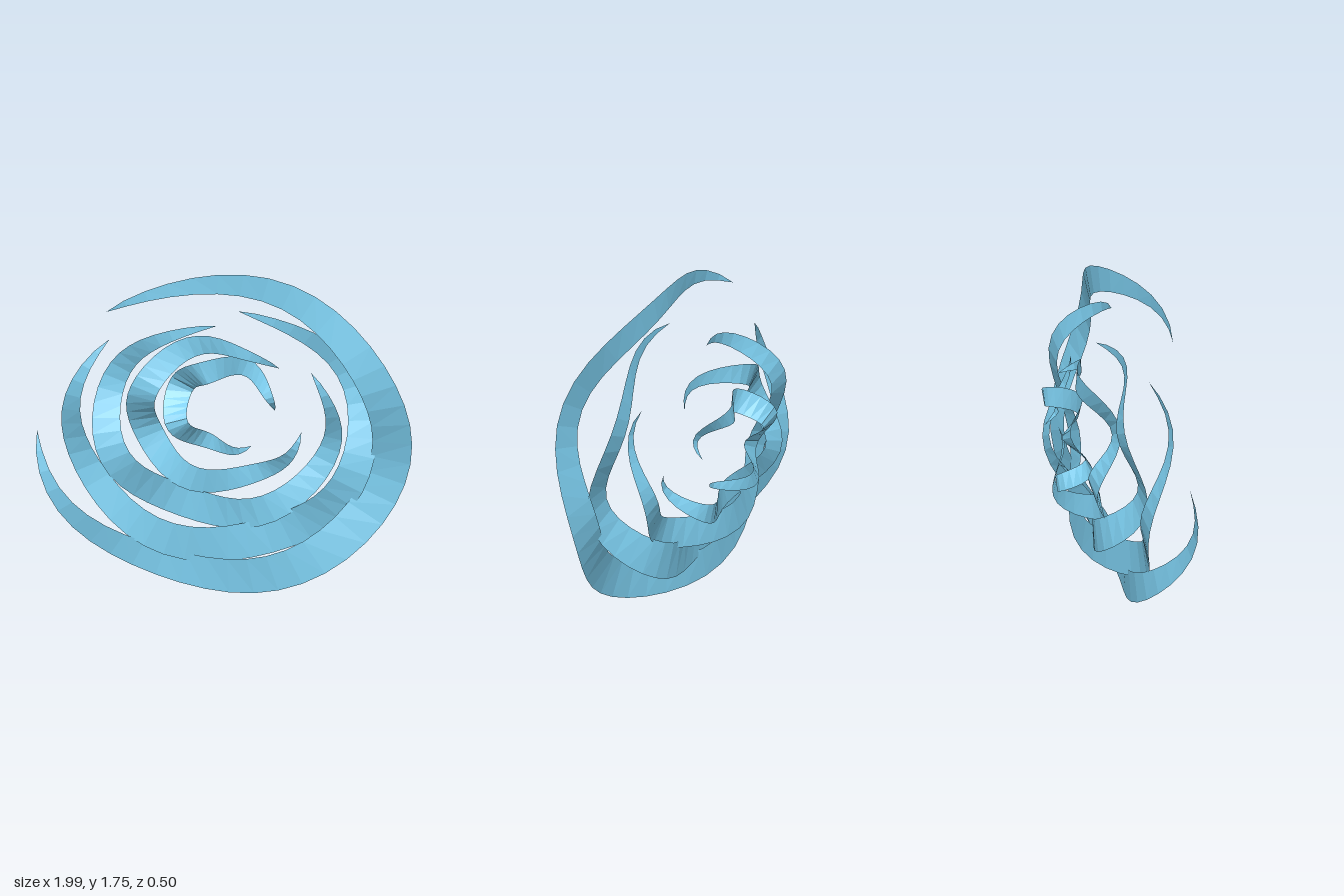
import * as THREE from 'three';

const RINGS = 5, SEGMENTS = 40, SWEEP = 5.3, SQUASH = 0.852;

// Wavy crescent ribbon: an open ring that tapers to a point at both ends
function ribbonGeometry(radius, width, depth, start) {
  const positions = [], index = [];
  for (let i = 0; i <= SEGMENTS; i++) {
    const t = i / SEGMENTS;
    const angle = start + SWEEP * t;
    const half = width / 2 * Math.pow(Math.max(0, Math.sin(Math.PI * t)), 0.72);
    const z = depth + 0.064 * Math.sin(4 * (angle - start));
    const c = Math.cos(angle), s = Math.sin(angle);
    for (const offset of [-half, half]) {
      positions.push(radius * c + offset * c, SQUASH * radius * s + offset * s, z);
    }
    if (i < SEGMENTS) {
      const a = 2 * i;
      index.push(a, a + 1, a + 3, a, a + 3, a + 2);
    }
  }
  const geometry = new THREE.BufferGeometry();
  geometry.setAttribute('position', new THREE.Float32BufferAttribute(positions, 3));
  geometry.setIndex(index);
  geometry.computeVertexNormals();
  return geometry;
}

export function createModel() {
  const model = new THREE.Group();
  model.name = 'nestedRibbons';
  const material = new THREE.MeshStandardMaterial({
    color: 0x7ccdee, flatShading: true, side: THREE.DoubleSide,
  });

  // Each ring outward is larger, wider, further forward and turned further round
  for (let i = 0; i < RINGS; i++) {
    const ribbon = new THREE.Mesh(
      ribbonGeometry(0.265 + 0.17 * i, 0.134 + 0.0203 * i, -0.185 + 0.0925 * i, 0.8 * i),
      material,
    );
    ribbon.name = `ribbon${i + 1}`;
    ribbon.position.set(-0.05, 0.9, 0);
    model.add(ribbon);
  }
  return model;
}
